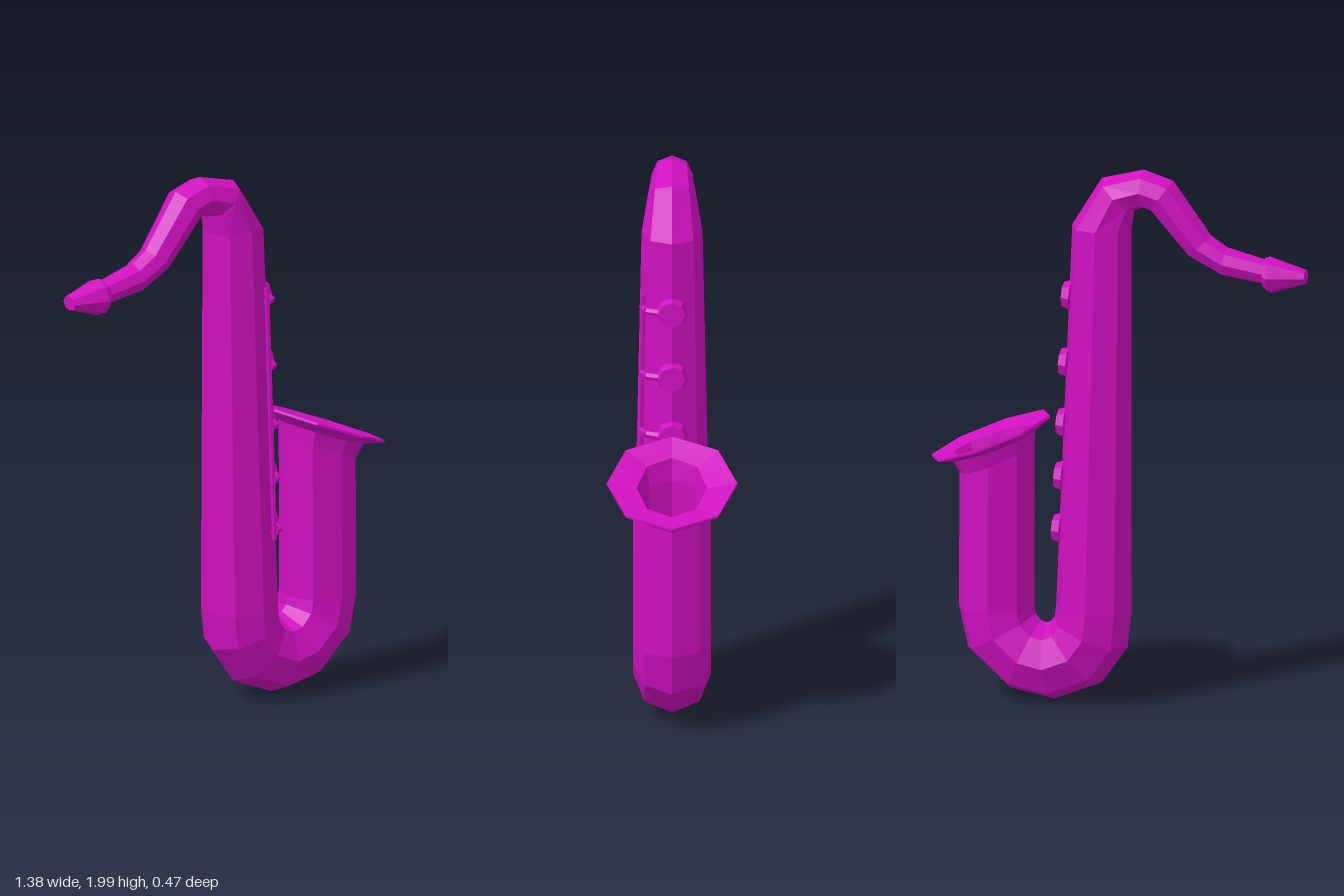
import * as THREE from 'three';

const material = new THREE.MeshStandardMaterial({ color: 0xd010c0, flatShading: true });

// Skins eight-sided rings. Each ring is [ax, ay, bx, by, depth]: two opposite
// corners in the XY plane and the half width along z.
function loft(rings, sides = 8) {
  const pos = [], idx = [];
  const centre = ([ax, ay, bx, by]) => [(ax + bx) / 2, (ay + by) / 2, 0];
  for (const ring of rings) {
    const [ax, ay, bx, by, depth] = ring;
    const [cx, cy] = centre(ring);
    for (let k = 0; k < sides; k++) {
      const t = (k / sides) * Math.PI * 2, c = Math.cos(t) / 2;
      pos.push(cx + (bx - ax) * c, cy + (by - ay) * c, depth * Math.sin(t));
    }
  }
  const last = rings.length - 1, start = rings.length * sides, end = start + 1;
  pos.push(...centre(rings[0]), ...centre(rings[last]));
  for (let k = 0; k < sides; k++) {
    const n = (k + 1) % sides;
    for (let i = 0; i < last; i++) {
      const a = i * sides + k, b = i * sides + n;
      idx.push(a, b, b + sides, a, b + sides, a + sides);
    }
    idx.push(start, n, k, end, last * sides + k, last * sides + n);
  }
  const geo = new THREE.BufferGeometry();
  geo.setAttribute('position', new THREE.Float32BufferAttribute(pos, 3));
  geo.setIndex(idx);
  const flat = geo.toNonIndexed();
  flat.computeVertexNormals();
  return flat;
}

function add(parent, name, geometry) {
  const mesh = new THREE.Mesh(geometry, material);
  mesh.name = name;
  parent.add(mesh);
  return mesh;
}

// Straight round bar between two points
function bar(parent, name, from, to, radius) {
  const dir = to.clone().sub(from);
  const mesh = add(parent, name, new THREE.CylinderGeometry(radius, radius, dir.length(), 6));
  mesh.position.copy(from).add(to).multiplyScalar(0.5);
  mesh.quaternion.setFromUnitVectors(new THREE.Vector3(0, 1, 0), dir.normalize());
  return mesh;
}

export function createModel() {
  const model = new THREE.Group();
  model.name = 'saxophone';

  // Mouthpiece with its flared collar
  add(model, 'mouthpiece', loft([
    [-0.695, 1.612, -0.695, 1.665, 0.035],
    [-0.567, 1.57, -0.563, 1.706, 0.07],
    [-0.545, 1.587, -0.545, 1.7, 0.06],
  ]));

  // Neck, body, bow and bell in one continuous tube
  add(model, 'bodyTube', loft([
    // neck
    [-0.56, 1.6, -0.56, 1.69, 0.044],
    [-0.385, 1.625, -0.405, 1.73, 0.058],
    [-0.26, 1.69, -0.345, 1.77, 0.062],
    [-0.12, 1.85, -0.205, 1.965, 0.075],
    [-0.09, 1.858, -0.095, 2.0, 0.075],
    [-0.06, 1.845, 0.06, 1.96, 0.087],
    // straight body
    [-0.05, 1.78, 0.17, 1.78, 0.11],
    [-0.05, 0.35, 0.23, 0.35, 0.14],
    // bow
    [-0.035, 0.215, 0.235, 0.315, 0.14],
    [0.06, 0.08, 0.25, 0.295, 0.14],
    [0.235, 0.008, 0.265, 0.29, 0.14],
    [0.4, 0.04, 0.285, 0.297, 0.14],
    [0.555, 0.18, 0.305, 0.32, 0.14],
    [0.59, 0.34, 0.31, 0.35, 0.14],
    // bell outside and lip
    [0.587, 0.83, 0.31, 0.95, 0.14],
    [0.62, 0.88, 0.307, 1.0, 0.156],
    [0.69, 0.882, 0.25, 1.054, 0.235],
    [0.69, 0.89, 0.254, 1.062, 0.235],
    // bell inside and floor
    [0.612, 0.903, 0.33, 1.012, 0.127],
    [0.575, 0.84, 0.345, 0.93, 0.115],
    [0.57, 0.6, 0.345, 0.6, 0.113],
  ]));

  // Key rod along the side of the body
  const rodTop = new THREE.Vector3(0.13, 1.565, 0.106);
  const rodBottom = new THREE.Vector3(0.157, 0.62, 0.118);
  bar(model, 'keyRod', rodTop, rodBottom, 0.01);

  // Keys: a round cup on the body, joined to the rod by a bent arm
  for (const y of [1.515, 1.265, 1.04, 0.84, 0.645]) {
    const key = new THREE.Group();
    key.name = 'key';
    model.add(key);
    const surface = 0.23 - (0.06 * (y - 0.35)) / 1.43;
    const cup = add(key, 'keyCup', new THREE.CylinderGeometry(0.048, 0.058, 0.03, 8));
    cup.position.set(surface + 0.006, y, 0);
    cup.rotation.set(0, 0, -Math.PI / 2 + 0.042);
    const onRod = rodTop.clone().lerp(rodBottom, (rodTop.y - y) / (rodTop.y - rodBottom.y));
    const bend = new THREE.Vector3(surface - 0.018, y, 0.092);
    bar(key, 'keyArm', onRod, bend, 0.014);
    bar(key, 'keyArm', bend, new THREE.Vector3(surface + 0.002, y, 0.03), 0.014);
  }
  return model;
}
